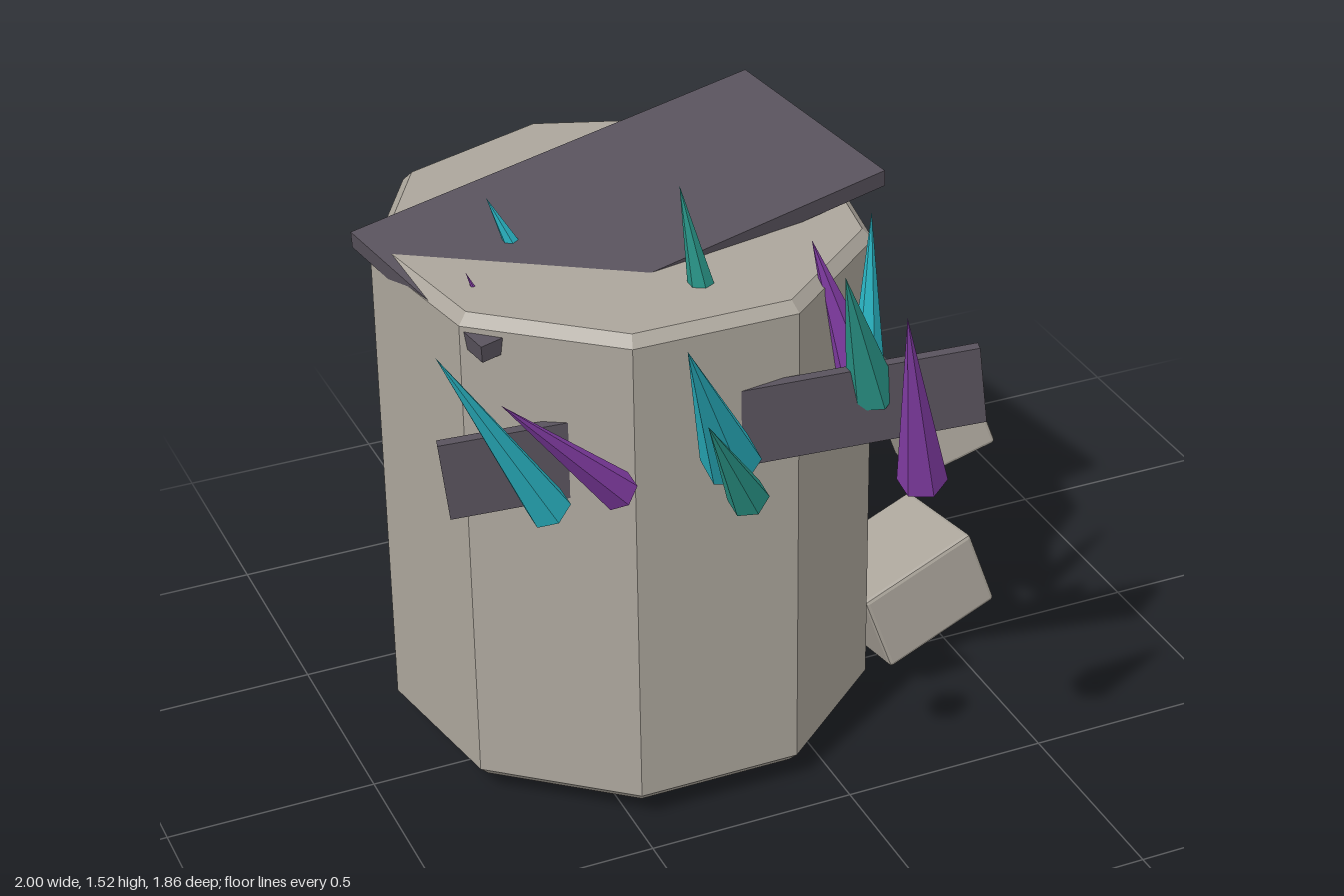
import * as THREE from 'three';
import { RoundedBoxGeometry } from 'three/addons/geometries/RoundedBoxGeometry.js';

const mat = (color) => new THREE.MeshStandardMaterial({ color, flatShading: true });

export function createModel() {
  const model = new THREE.Group();
  const stone = mat(0xaca69c), slate = mat(0x58525c);
  const purple = mat(0x8a40ae), cyan = mat(0x2cbccb), green = mat(0x2c9c8e);

  function add(name, geometry, material, parent = model) {
    const mesh = new THREE.Mesh(geometry, material);
    mesh.name = name;
    parent.add(mesh);
    return mesh;
  }

  // Turn a mesh so its x axis follows u and its z axis lies close to w
  function orient(mesh, center, u, w) {
    const x = new THREE.Vector3(...u).normalize();
    const y = new THREE.Vector3(...w).cross(x).normalize();
    const z = x.clone().cross(y);
    mesh.quaternion.setFromRotationMatrix(new THREE.Matrix4().makeBasis(x, y, z));
    mesh.position.set(...center);
    return mesh;
  }

  // Nine-sided stump with chamfered rims
  const profile = [[0, 0.06], [0.55, 0.06], [0.575, 0.085], [0.575, 1.26], [0.55, 1.285], [0, 1.285]]
    .map(([r, y]) => new THREE.Vector2(r, y));
  add('stump', new THREE.LatheGeometry(profile, 9, Math.PI), stone).position.set(-0.285, 0, -0.145);

  // Tilted slab sunk into the top
  orient(add('topSlab', new THREE.BoxGeometry(1.097, 0.042, 0.545), slate),
    [-0.28, 1.302, -0.158], [1.07, 0.11, -0.215], [0.11, -0.055, 0.53]);

  // Upright plank passing through the front of the stump
  orient(add('frontPlank', new THREE.BoxGeometry(1.208, 0.19, 0.026), slate),
    [-0.28, 0.996, 0.368], [1.162, 0.131, 0.305], [-0.254, 0, 0.967]);

  // Fallen rocks: size, centre, x direction, z direction
  const rocks = new THREE.Group();
  rocks.name = 'rocks';
  model.add(rocks);
  [
    [[0.32, 0.21, 0.29], [0.41, 0.173, -0.068], [0.3, 0.1, -0.035], [0.03, 0.03, 0.29]],
    [[0.22, 0.14, 0.2], [0.28, 0.124, -0.31], [1, 0, 0.12], [-0.12, 0, 1]],
    [[0.24, 0.2, 0.24], [-0.388, 0.155, -0.79], [0.23, 0.03, -0.01], [0, 0.3, 0.95]],
    [[0.14, 0.1, 0.115], [-0.18, 0.1, -0.83], [1, 0.05, 0.04], [-0.04, 0.05, 1]],
    [[0.22, 0.15, 0.18], [-0.14, 0.135, 0.14], [1, 0.05, 0.1], [-0.1, 0.15, 1]],
    [[0.235, 0.15, 0.19], [0.86, 0.14, -0.755], [0.22, 0.075, 0.02], [-0.02, 0.03, 0.2]],
  ].forEach(([size, center, u, w]) =>
    orient(add('rock', new RoundedBoxGeometry(...size, 1, 0.01), stone, rocks), center, u, w));

  // Crystal spikes: colour, base centre, tip, base radius
  const crystals = new THREE.Group();
  crystals.name = 'crystals';
  model.add(crystals);
  [
    [cyan, [-0.73, 0.995, 0.52], [-1, 1.476, 0.625], 0.05],
    [purple, [-0.58, 1.015, 0.545], [-0.883, 1.364, 0.675], 0.045],
    [cyan, [-0.3, 1.0, 0.5], [-0.508, 1.444, 0.757], 0.068],
    [green, [-0.355, 1.035, 0.715], [-0.5, 1.31, 0.84], 0.046],
    [green, [-0.2, 1.05, 0.215], [-0.294, 1.533, 0.22], 0.057],
    [purple, [0.025, 1.02, 0.775], [-0.098, 1.515, 0.928], 0.055],
    [green, [0.075, 1.045, 0.43], [-0.05, 1.41, 0.542], 0.06],
    [purple, [0.11, 1.02, 0.28], [-0.02, 1.385, 0.31], 0.055],
    [cyan, [0.112, 1.025, 0.328], [0.107, 1.444, 0.345], 0.04],
    [cyan, [-0.45, 1.05, -0.12], [-0.612, 1.41, -0.13], 0.055],
    [purple, [-0.6, 1.02, 0.035], [-0.722, 1.322, 0.025], 0.04],
  ].forEach(([material, base, tip, radius]) => {
    const a = new THREE.Vector3(...base), axis = new THREE.Vector3(...tip).sub(a);
    const length = axis.length();
    const spike = add('crystal', new THREE.ConeGeometry(radius, length, 6), material, crystals);
    spike.position.copy(a).addScaledVector(axis, 0.5);
    spike.quaternion.setFromUnitVectors(new THREE.Vector3(0, 1, 0), axis.divideScalar(length));
  });

  return model;
}
